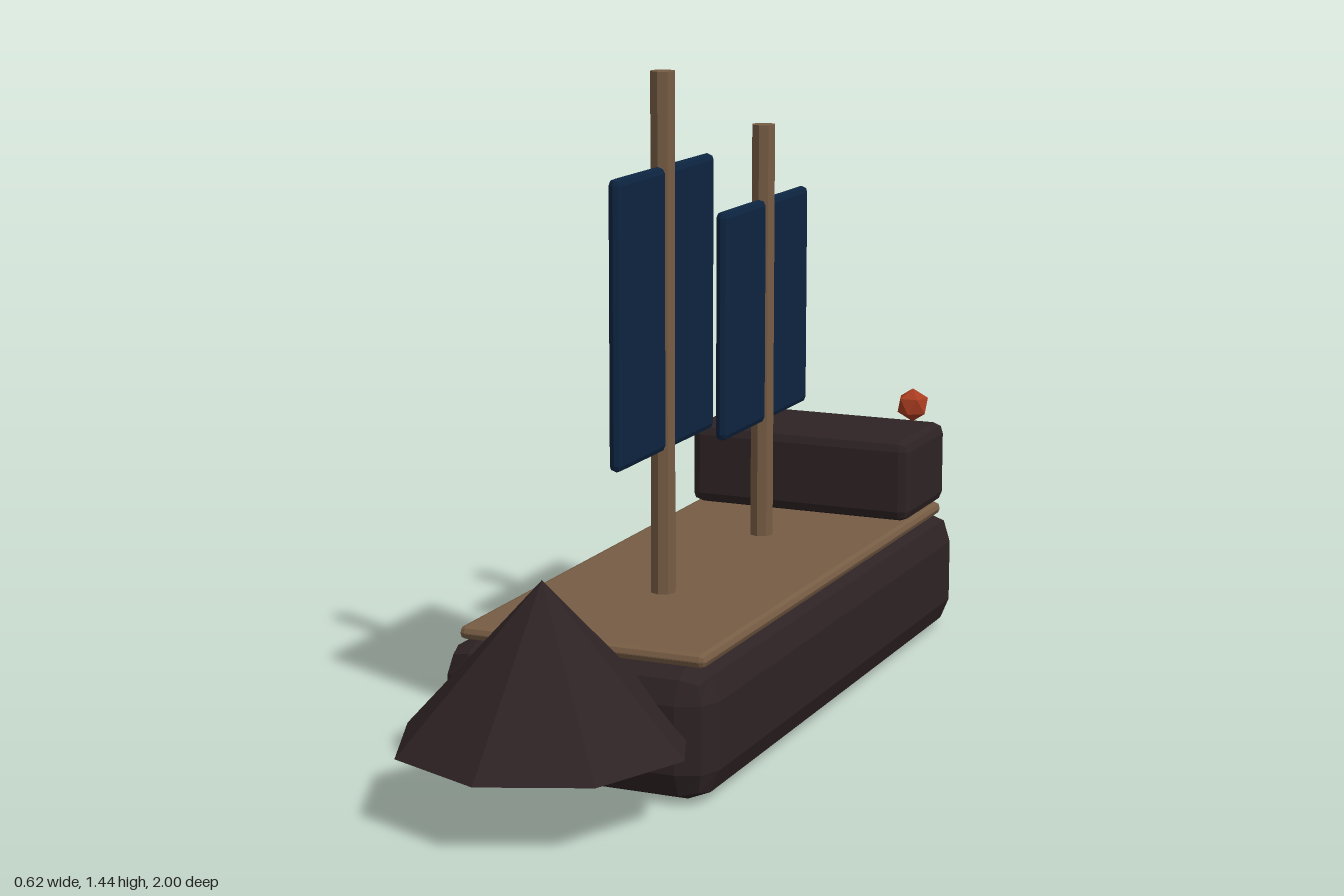
import * as THREE from 'three';
import { RoundedBoxGeometry } from 'three/addons/geometries/RoundedBoxGeometry.js';

const paint = (name, color) => {
  const m = new THREE.MeshStandardMaterial({ color });
  m.name = name;
  return m;
};

// Faceted normals for the low-poly look
function facet(geometry) {
  const g = geometry.index ? geometry.toNonIndexed() : geometry;
  g.computeVertexNormals();
  return g;
}

export function createModel() {
  const ship = new THREE.Group();
  ship.name = 'sailingShip';

  const darkWood = paint('darkWood', 0x2e2324);
  const plankWood = paint('plankWood', 0x765c44);
  const sailCloth = paint('sailCloth', 0x0d2440);
  const lampRed = paint('lampRed', 0xa83c20);

  const add = (name, geometry, material, x, y, z) => {
    const mesh = new THREE.Mesh(facet(geometry), material);
    mesh.name = name;
    mesh.position.set(x, y, z);
    ship.add(mesh);
  };

  // Bevelled box given by its width and its y and z ranges
  const block = (name, material, width, y0, y1, z0, z1, bevel) =>
    add(name, new RoundedBoxGeometry(width, y1 - y0, z1 - z0, 1, bevel),
      material, 0, (y0 + y1) / 2, (z0 + z1) / 2);

  // Body
  block('hull', darkWood, 0.615, 0, 0.285, -1, 0.577, 0.07);
  block('deck', plankWood, 0.56, 0.28, 0.31, -0.945, 0.522, 0.014);
  block('sternCabin', darkWood, 0.56, 0.31, 0.505, -0.97, -0.692, 0.025);

  // Eight-sided pointed bow
  add('bow', new THREE.ConeGeometry(0.31, 0.335, 8), darkWood, 0, 0.3125, 0.69);

  // Masts, each with a fore-and-aft sail
  const rigs = [
    { name: 'main', z: 0.098, top: 1.44, sail: [0.625, 1.24] },
    { name: 'rear', z: -0.466, top: 1.27, sail: [0.58, 1.1] },
  ];
  for (const { name, z, top, sail } of rigs) {
    const foot = 0.3;
    add(name + 'Mast', new THREE.CylinderGeometry(0.028, 0.028, top - foot, 8),
      plankWood, 0, (top + foot) / 2, z);
    block(name + 'Sail', sailCloth, 0.03, sail[0], sail[1], z - 0.252, z + 0.252, 0.0145);
  }

  // Stern lamps, standing on a point
  for (const [name, side] of [['leftLamp', 1], ['rightLamp', -1]]) {
    const gem = new THREE.IcosahedronGeometry(0.041, 0);
    gem.rotateZ(-Math.atan(2 / (1 + Math.sqrt(5))));
    gem.rotateY(Math.PI / 2);
    add(name, gem, lampRed, side * 0.197, 0.541, -0.958);
  }

  return ship;
}
